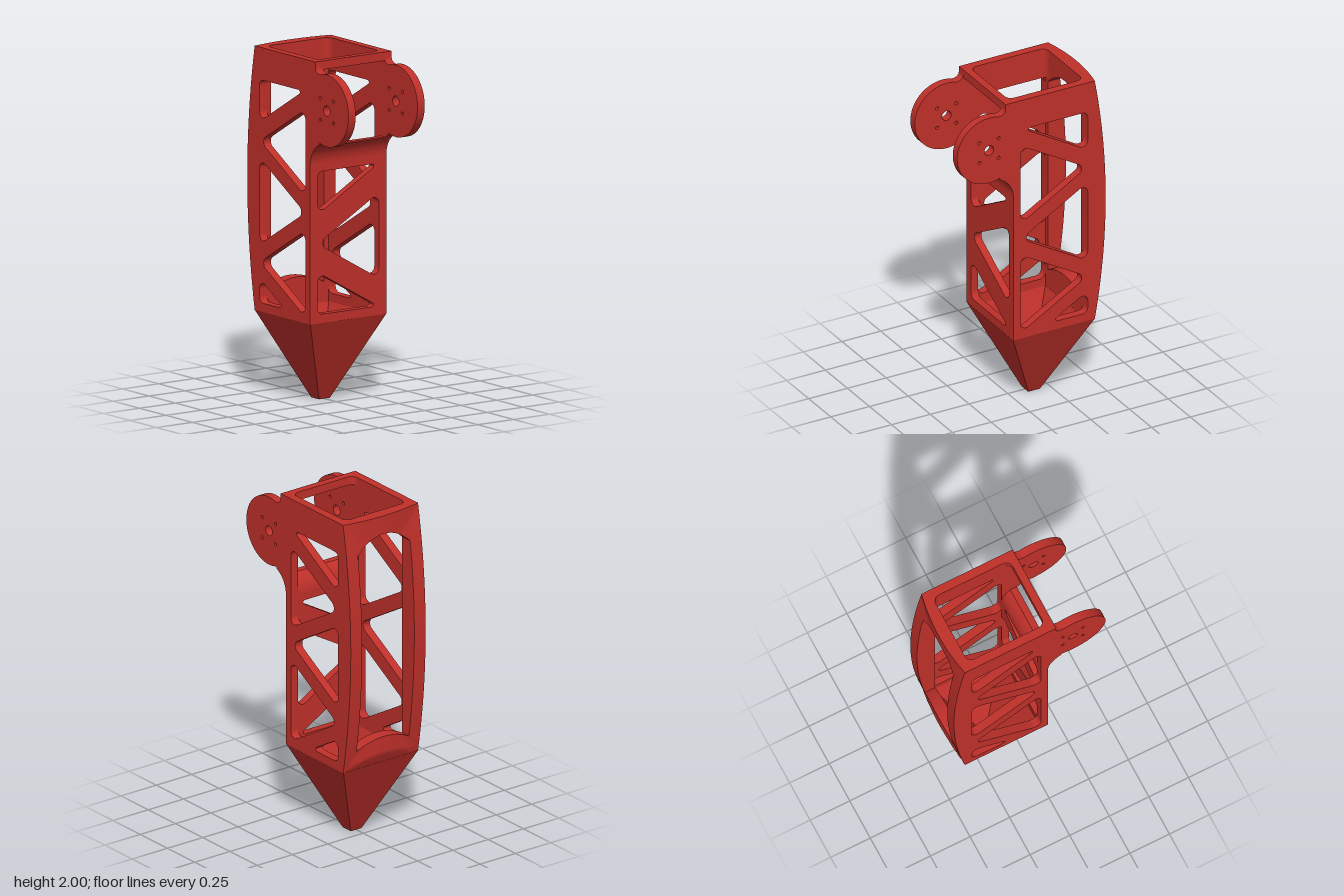
import * as THREE from 'three';
import { toCreasedNormals } from 'three/addons/utils/BufferGeometryUtils.js';

const material = new THREE.MeshStandardMaterial({ color: 0xc0302a });
const V = (x, y) => new THREE.Vector2(x, y);

function part(name, geometry, parent) {
  const flat = geometry.index ? geometry.toNonIndexed() : geometry;
  const mesh = new THREE.Mesh(toCreasedNormals(flat, 0.45), material);
  mesh.name = name;
  parent.add(mesh);
  return mesh;
}

// Polygon path with rounded corners; each corner is [x, y, radius]
function roundedHole(corners) {
  const path = new THREE.Path();
  const n = corners.length;
  corners.forEach(([x, y, r], i) => {
    const p = V(x, y);
    const a = V(...corners[(i + n - 1) % n]).sub(p).normalize();
    const b = V(...corners[(i + 1) % n]).sub(p).normalize();
    const half = Math.acos(a.dot(b)) / 2;
    const c = a.clone().add(b).normalize().multiplyScalar(r / Math.sin(half)).add(p);
    const d = r / Math.tan(half);
    const t1 = a.clone().multiplyScalar(d).add(p).sub(c);
    const t2 = b.clone().multiplyScalar(d).add(p).sub(c);
    path.absarc(c.x, c.y, r, t1.angle(), t2.angle(), t1.cross(t2) < 0);
  });
  path.closePath();
  return path;
}

function circleHole(x, y, r) {
  const path = new THREE.Path();
  path.absarc(x, y, r, 0, Math.PI * 2, true);
  return path;
}

const extrude = (shape, depth) =>
  new THREE.ExtrudeGeometry(shape, { depth, bevelEnabled: false, curveSegments: 16 });

const HUB = V(0.272, 1.737), HUB_R = 0.206;
const LIP = V(0.257, 1.4), LIP_R = 0.142;

// Side plate with hinge disc and triangular truss openings
function sidePlateGeometry() {
  const s = new THREE.Shape();
  s.moveTo(-0.4, 0.49);
  s.lineTo(0.115, 0.49);
  s.lineTo(0.115, 1.4);
  s.absarc(LIP.x, LIP.y, LIP_R, Math.PI, Math.PI - 1.15, true);
  const start = Math.atan2(-0.194, -0.07), end = Math.atan2(0.194, -0.06);
  // the disc edge, swept in small steps around its outer side
  for (let i = 0; i <= 48; i++) {
    const a = start + (end - start) * (i / 48);
    s.lineTo(HUB.x + HUB_R * Math.cos(a), HUB.y + HUB_R * Math.sin(a));
  }
  s.quadraticCurveTo(0.165, 1.935, 0.165, 1.97);
  s.lineTo(0.165, 2);
  s.lineTo(-0.4, 2);
  s.closePath();
  const r = 0.035, l = -0.365, f = 0.07;
  s.holes.push(
    roundedHole([[l, 1.815, r], [0.05, 1.815, 0.012], [l, 1.575, r]]),
    roundedHole([[-0.36, 1.465, r], [f, 1.713, r], [f, 1.217, r]]),
    roundedHole([[l, 1.368, r], [0.065, 1.12, r], [l, 0.872, r]]),
    roundedHole([[-0.36, 0.772, r], [f, 1.02, r], [f, 0.524, r]]),
    roundedHole([[l, 0.678, r], [-0.125, 0.54, 0.012], [l, 0.54, r]]),
    circleHole(HUB.x, HUB.y, 0.03)
  );
  for (const i of [-1, 1]) for (const j of [-1, 1])
    s.holes.push(circleHole(HUB.x + i * 0.062, HUB.y + j * 0.062, 0.01));
  return extrude(s, 0.05);
}

// Flat truss wall on the +x side
function trussWallGeometry() {
  const s = new THREE.Shape([V(-0.24, 0.49), V(0.24, 0.49), V(0.24, 1.4), V(-0.24, 1.4)]);
  const r = 0.035, e = 0.214;
  s.holes.push(
    roundedHole([[-e, 1.357, r], [0.21, 1.357, 0.012], [-e, 1.112, r]]),
    roundedHole([[-0.212, 0.945, r], [e, 1.19, r], [e, 0.7, r]]),
    roundedHole([[-e, 0.783, r], [0.21, 0.54, 0.012], [-e, 0.54, r]])
  );
  return extrude(s, 0.045).rotateY(Math.PI / 2).translate(0.07, 0, 0);
}

// Flared lip above the truss wall
function lipGeometry() {
  const s = new THREE.Shape();
  s.moveTo(0.07, 1.4);
  s.lineTo(0.115, 1.4);
  s.absarc(LIP.x, LIP.y, LIP_R, Math.PI, Math.PI - 0.866, true);
  s.lineTo(0.165, 1.515);
  s.lineTo(0.125, 1.515);
  s.quadraticCurveTo(0.07, 1.47, 0.07, 1.4);
  return extrude(s, 0.44).translate(0, 0, -0.22);
}

// Outer face of the bowed wall: an upright arc, a plan arc and the tip's slope
function bowedX(y, z) {
  const upright = -0.48 + 0.07 * ((y - 1.245) / 0.755) ** 2;
  const plan = -0.44 + 0.03 * (z / 0.265) ** 2;
  return Math.max(Math.min(upright, plan), -0.41 - (y - 0.49) * 0.46);
}

// Piece of the bowed wall between two z limits and two height rules
function bowedPiece(z0, z1, low, high, ySteps, zSteps) {
  const g = new THREE.BoxGeometry(1, 1, 1, 1, ySteps, zSteps);
  const p = g.attributes.position;
  for (let i = 0; i < p.count; i++) {
    const z = z0 + (z1 - z0) * (p.getZ(i) + 0.5);
    const y = low(z) + (high(z) - low(z)) * (p.getY(i) + 0.5);
    p.setXYZ(i, p.getX(i) < 0 ? bowedX(y, z) : -0.365, y, z);
  }
  return g;
}

// Concave fillet filling an inside corner, extruded upward
function cornerFillet(x, z, sx, sz, y0, y1) {
  const r = 0.04, pts = [V(x, -z)];
  for (let i = 0; i <= 8; i++) {
    const a = (i / 8) * Math.PI / 2;
    pts.push(V(x + sx * r * (1 - Math.sin(a)), -(z + sz * r * (1 - Math.cos(a)))));
  }
  return extrude(new THREE.Shape(pts), y1 - y0).rotateX(-Math.PI / 2).translate(0, y0, 0);
}

export function createModel() {
  const model = new THREE.Group();
  model.name = 'legSegment';

  for (const side of [-1, 1]) {
    const plate = part(side > 0 ? 'frontSidePlate' : 'backSidePlate', sidePlateGeometry(), model);
    plate.position.z = side > 0 ? 0.215 : -0.265;

    // bowed rails beside the large opening
    const z = side > 0 ? 0.185 : -0.265;
    part('bowedRail', bowedPiece(z, z + 0.08, () => 0.49, () => 2, 60, 6), model);

    // rounded inside corners of the top rim
    part('innerCorner', cornerFillet(-0.365, side * 0.215, 1, -side, 1.82, 2), model);
    part('rimCorner', cornerFillet(0.12, side * 0.215, -1, -side, 1.95, 2), model);
  }

  // arched lintel and sill of the bowed wall
  const bulge = z => 1 - (z / 0.185) ** 2;
  part('archedLintel', bowedPiece(-0.185, 0.185, z => 1.8 + 0.09 * bulge(z), () => 2, 12, 24), model);
  part('archedSill', bowedPiece(-0.185, 0.185, () => 0.49, z => 0.605 + 0.05 * bulge(z), 12, 24), model);

  part('trussWall', trussWallGeometry(), model);
  part('flaredLip', lipGeometry(), model);
  part('topBar', new THREE.BoxGeometry(0.045, 0.05, 0.44).translate(0.1425, 1.975, 0), model);

  // hollow four-sided tip
  const q = Math.SQRT2;
  const profile = [V(0, 0), V(0.0375 * q, 0), V(0.2635 * q, 0.49), V(0.2165 * q, 0.49), V(0, 0.04)];
  const tip = part('pointedTip', new THREE.LatheGeometry(profile, 4, Math.PI / 4), model);
  tip.position.x = -0.148;

  return model;
}
